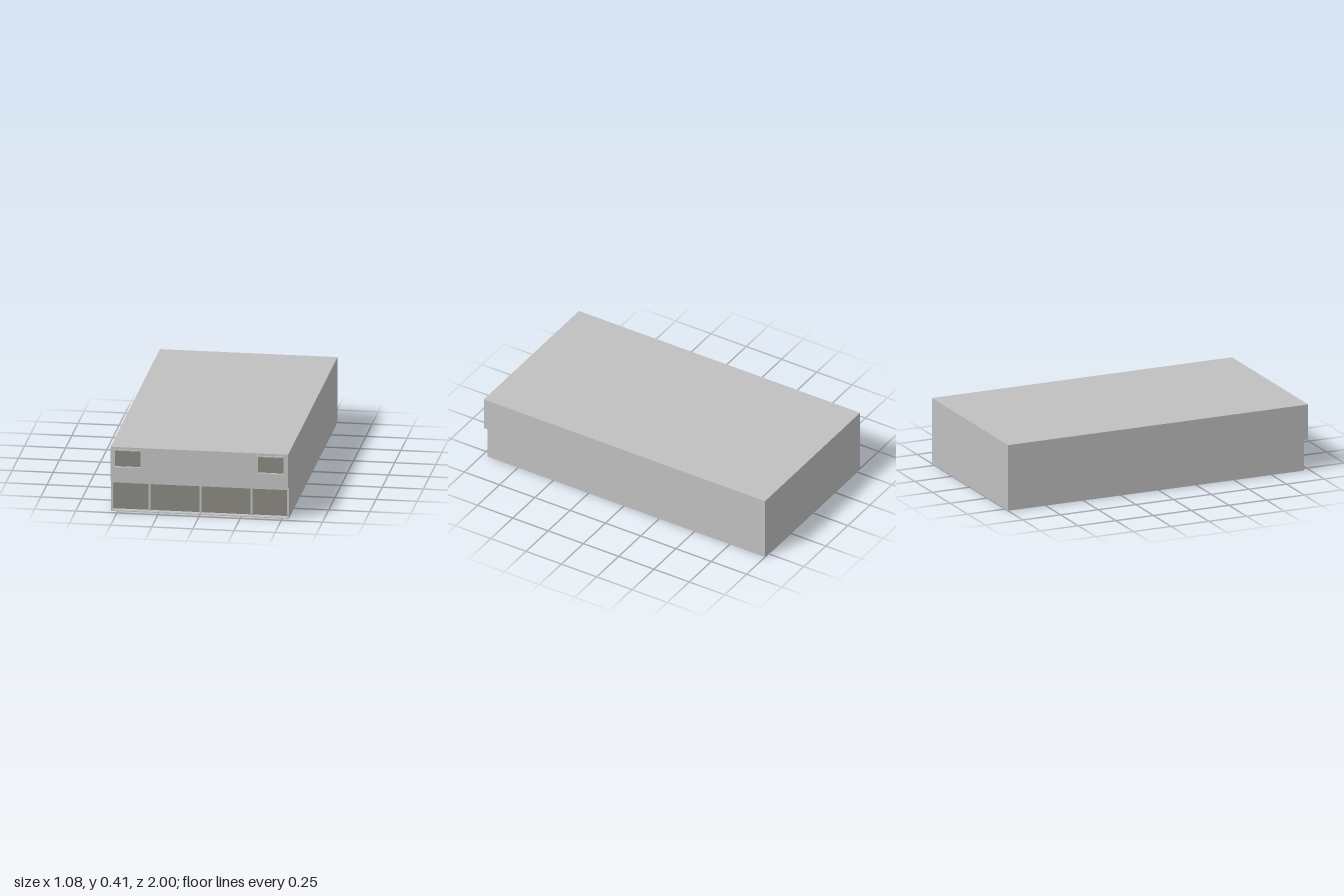
import * as THREE from 'three';

const W = 0.54, H = 0.412, BACK = -1, FRONT = 0.992, LOWER = 0.965, STEP = 0.2;

const wall = new THREE.MeshStandardMaterial({ color: 0xc0c0c0, side: THREE.DoubleSide });
wall.name = 'light grey wall';
const glass = new THREE.MeshStandardMaterial({ color: 0x8a8881, side: THREE.DoubleSide });
glass.name = 'warm grey glass';

const rect = (Type, x0, y0, x1, y1) =>
  new Type([[x0, y0], [x1, y0], [x1, y1], [x0, y1]].map(p => new THREE.Vector2(...p)));

export function createModel() {
  const model = new THREE.Group();
  model.name = 'building';

  const add = (name, geometry, material, x = 0, y = 0, z = 0, parent = model) => {
    const mesh = new THREE.Mesh(geometry, material);
    mesh.name = name;
    mesh.position.set(x, y, z);
    parent.add(mesh);
    return mesh;
  };

  // Rectangular ring pushed back from its front plane
  const ring = (x0, y0, x1, y1, left, bottom, top, depth) => {
    const shape = rect(THREE.Shape, x0, y0, x1, y1);
    shape.holes.push(rect(THREE.Path, x0 + left, y0 + bottom, x1 - left, y1 - top));
    return new THREE.ExtrudeGeometry(shape, { depth, bevelEnabled: false }).translate(0, 0, -depth);
  };

  // Roof and back wall, thin sheets over a hollow, open-bottomed shell
  const roof = new THREE.PlaneGeometry(2 * W, FRONT - BACK).rotateX(-Math.PI / 2);
  add('roof', roof, wall, 0, H, (FRONT + BACK) / 2);
  add('backWall', new THREE.PlaneGeometry(2 * W, H).rotateY(Math.PI), wall, 0, H / 2, BACK);

  // Side walls, notched under the front overhang
  const profile = new THREE.Shape([
    [-BACK, 0], [-BACK, H], [-FRONT, H], [-FRONT, STEP], [-LOWER, STEP], [-LOWER, 0],
  ].map(p => new THREE.Vector2(...p)));
  for (const [name, x] of [['leftWall', W], ['rightWall', -W]]) {
    add(name, new THREE.ShapeGeometry(profile).rotateY(Math.PI / 2), wall, x);
  }

  // Overhanging upper front with two window openings
  const upper = rect(THREE.Shape, -W, STEP, W, H);
  for (const s of [-1, 1]) {
    const cx = s * 0.435;
    upper.holes.push(rect(THREE.Path, cx - 0.08, 0.288, cx + 0.08, 0.392));
  }
  add('upperFront', new THREE.ShapeGeometry(upper), wall, 0, 0, FRONT);
  const soffit = new THREE.PlaneGeometry(2 * W, FRONT - LOWER).rotateX(Math.PI / 2);
  add('overhangSoffit', soffit, wall, 0, STEP, (FRONT + LOWER) / 2);

  // Small upper windows: outer frame, inner sash and recessed pane
  for (const [side, s] of [['left', 1], ['right', -1]]) {
    const win = new THREE.Group();
    win.name = side + 'UpperWindow';
    win.position.set(s * 0.435, 0.34, 0);
    model.add(win);
    add('windowFrame', ring(-0.087, -0.058, 0.087, 0.058, 0.007, 0.006, 0.006, 0.022), wall, 0, 0, 1, win);
    add('windowSash', ring(-0.08, -0.052, 0.08, 0.052, 0.002, 0.002, 0.002, 0.01), wall, 0, 0, 0.99, win);
    add('windowPane', new THREE.PlaneGeometry(0.158, 0.102), glass, 0, 0, 0.984, win);
  }

  // Recessed shop front: deep surround, glass band and mullions
  add('shopSurround', ring(-W, 0, W, STEP, 0.01, 0.005, 0.02, 0.05), wall, 0, 0, LOWER);
  add('shopGlass', new THREE.PlaneGeometry(1.06, 0.175), glass, 0, 0.0925, 0.925);
  for (const x of [-0.31, 0, 0.31]) {
    add('mullion', new THREE.BoxGeometry(0.014, 0.175, 0.03), wall, x, 0.0925, 0.93);
    add('mullionCap', new THREE.BoxGeometry(0.008, 0.175, 0.006), wall, x, 0.0925, 0.947);
  }

  return model;
}
